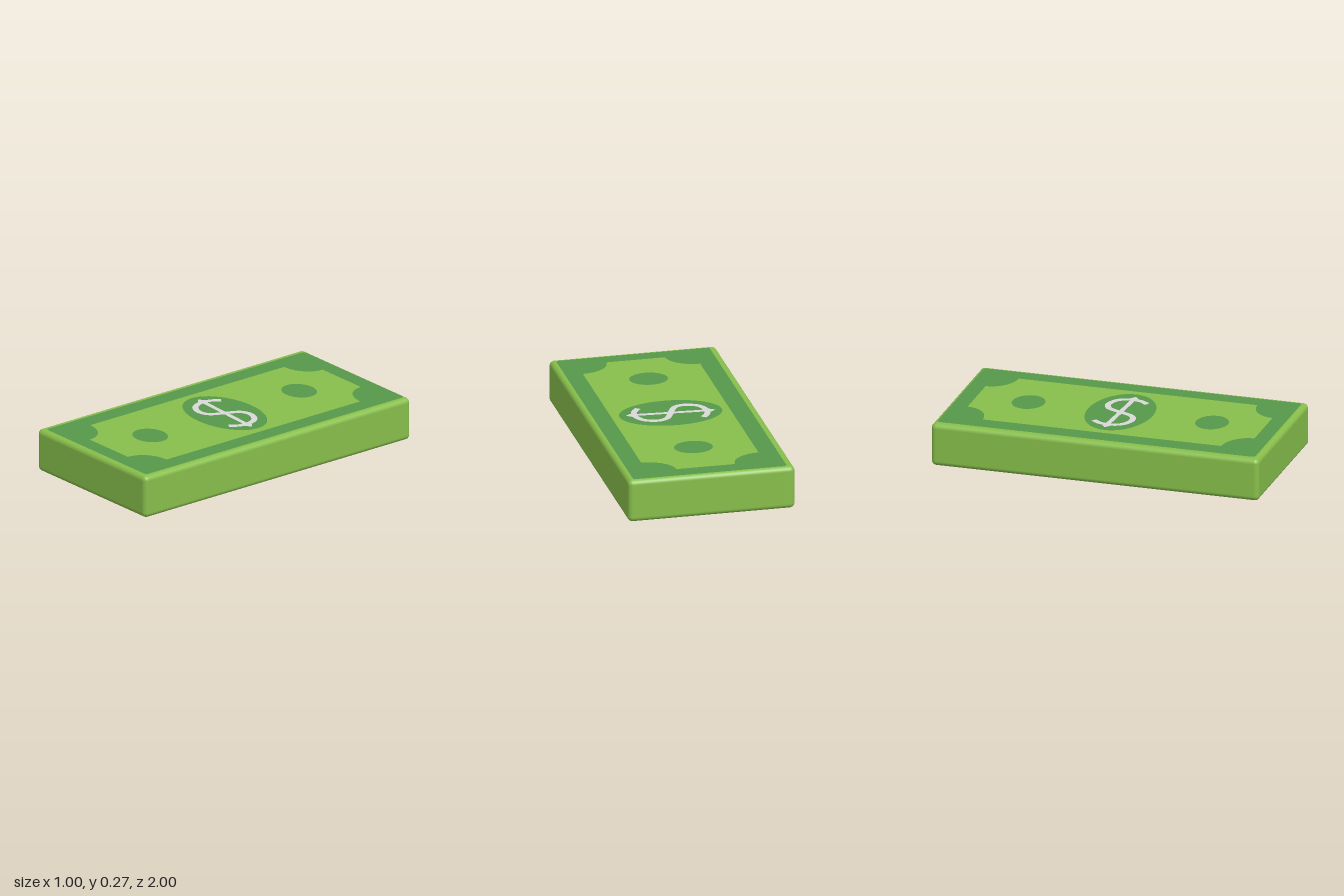
import * as THREE from 'three';
import { RoundedBoxGeometry } from 'three/addons/geometries/RoundedBoxGeometry.js';

const HEIGHT = 0.268;
const STEP = 0.001; // thickness between printed layers

const paper = new THREE.MeshStandardMaterial({ color: 0x87be4b });
paper.name = 'light green paper';
const ink = new THREE.MeshStandardMaterial({ color: 0x56974a });
ink.name = 'dark green ink';
const silver = new THREE.MeshStandardMaterial({ color: 0xd8d8d8 });
silver.name = 'silver';

// Shapes are drawn flat, then laid down facing up
function layer(name, shape, material, level) {
  const geometry = new THREE.ShapeGeometry(shape, 24).rotateX(-Math.PI / 2);
  const mesh = new THREE.Mesh(geometry, material);
  mesh.name = name;
  mesh.position.y = HEIGHT / 2 + (level - 4) * STEP;
  return mesh;
}

function ellipse(x, y, rx, ry) {
  return new THREE.Shape().absellipse(x, y, rx, ry, 0, Math.PI * 2);
}

function roundedRect(x0, x1, y0, y1, r) {
  const s = new THREE.Shape();
  s.absarc(x1 - r, y1 - r, r, 0, Math.PI / 2);
  s.absarc(x0 + r, y1 - r, r, Math.PI / 2, Math.PI);
  s.absarc(x0 + r, y0 + r, r, Math.PI, Math.PI * 1.5);
  s.absarc(x1 - r, y0 + r, r, Math.PI * 1.5, Math.PI * 2);
  return s;
}

// Rectangle with a scooped notch at each corner
function notchedPanel(x0, x1, y0, y1, rx, ry) {
  const s = new THREE.Shape();
  const q = Math.PI / 2;
  s.absellipse(x0, y0, rx, ry, q, 0, true);
  s.absellipse(x1, y0, rx, ry, 2 * q, q, true);
  s.absellipse(x1, y1, rx, ry, 3 * q, 2 * q, true);
  s.absellipse(x0, y1, rx, ry, 4 * q, 3 * q, true);
  return s;
}

// Flat band of constant width along a smooth path
function ribbon(points, width) {
  const curve = new THREE.SplineCurve(points);
  const left = [], right = [];
  for (let i = 0; i <= 60; i++) {
    const p = curve.getPoint(i / 60);
    const t = curve.getTangent(i / 60);
    const n = new THREE.Vector2(-t.y, t.x).multiplyScalar(width / 2);
    left.push(p.clone().add(n));
    right.unshift(p.clone().sub(n));
  }
  return new THREE.Shape([...left, ...right]);
}

const CX = 0.008; // centre of the emblem
const turned = (points) => points.map((p) => new THREE.Vector2(2 * CX - p.x, -p.y)).reverse();
const vectors = (list) => list.map(([x, y]) => new THREE.Vector2(x, y));

// Everything printed on one large face
function printedFace(name) {
  const face = new THREE.Group();
  face.name = name;
  face.add(layer('border', roundedRect(-0.455, 0.465, -0.965, 0.975, 0.02), ink, 1));
  face.add(layer('innerPanel', notchedPanel(-0.343, 0.36, -0.873, 0.878, 0.175, 0.147), paper, 2));
  face.add(layer('centreOval', ellipse(CX, 0, 0.306, 0.198), ink, 3));
  for (const side of [-1, 1]) {
    face.add(layer('smallOval', ellipse(0.006, side * 0.56, 0.114, 0.097), ink, 3));
  }

  // Emblem: double curve, crossed by a bar with pointed ends
  const half = vectors([
    [-0.162, 0.11], [-0.197, 0.06], [-0.205, -0.01], [-0.173, -0.075],
    [-0.1, -0.105], [-0.038, -0.085], [-0.006, -0.033],
  ]);
  const path = [...half, new THREE.Vector2(CX, 0), ...turned(half)];
  face.add(layer('emblemCurve', ribbon(path, 0.036), silver, 4));

  const barEnd = vectors([
    [CX, 0.014], [-0.19, 0.027], [-0.225, 0.038], [-0.258, 0.013], [-0.225, -0.012], [-0.19, -0.003],
    [CX - 0.02, -0.014],
  ]);
  const barOutline = [...barEnd, ...barEnd.map((p) => new THREE.Vector2(2 * CX - p.x, -p.y))];
  face.add(layer('emblemBar', new THREE.Shape(barOutline), silver, 4));
  return face;
}

export function createModel() {
  const model = new THREE.Group();
  model.name = 'banknoteStack';

  // Soft-edged block
  const block = new THREE.Mesh(new RoundedBoxGeometry(1, HEIGHT - 8 * STEP, 2, 5, 0.03), paper);
  block.name = 'stackBody';
  block.position.y = HEIGHT / 2;
  model.add(block);

  // Same print above and below
  const top = printedFace('topPrint');
  top.position.y = HEIGHT / 2;
  const bottom = printedFace('bottomPrint');
  bottom.position.y = HEIGHT / 2;
  bottom.rotation.z = Math.PI;
  model.add(top, bottom);
  return model;
}
